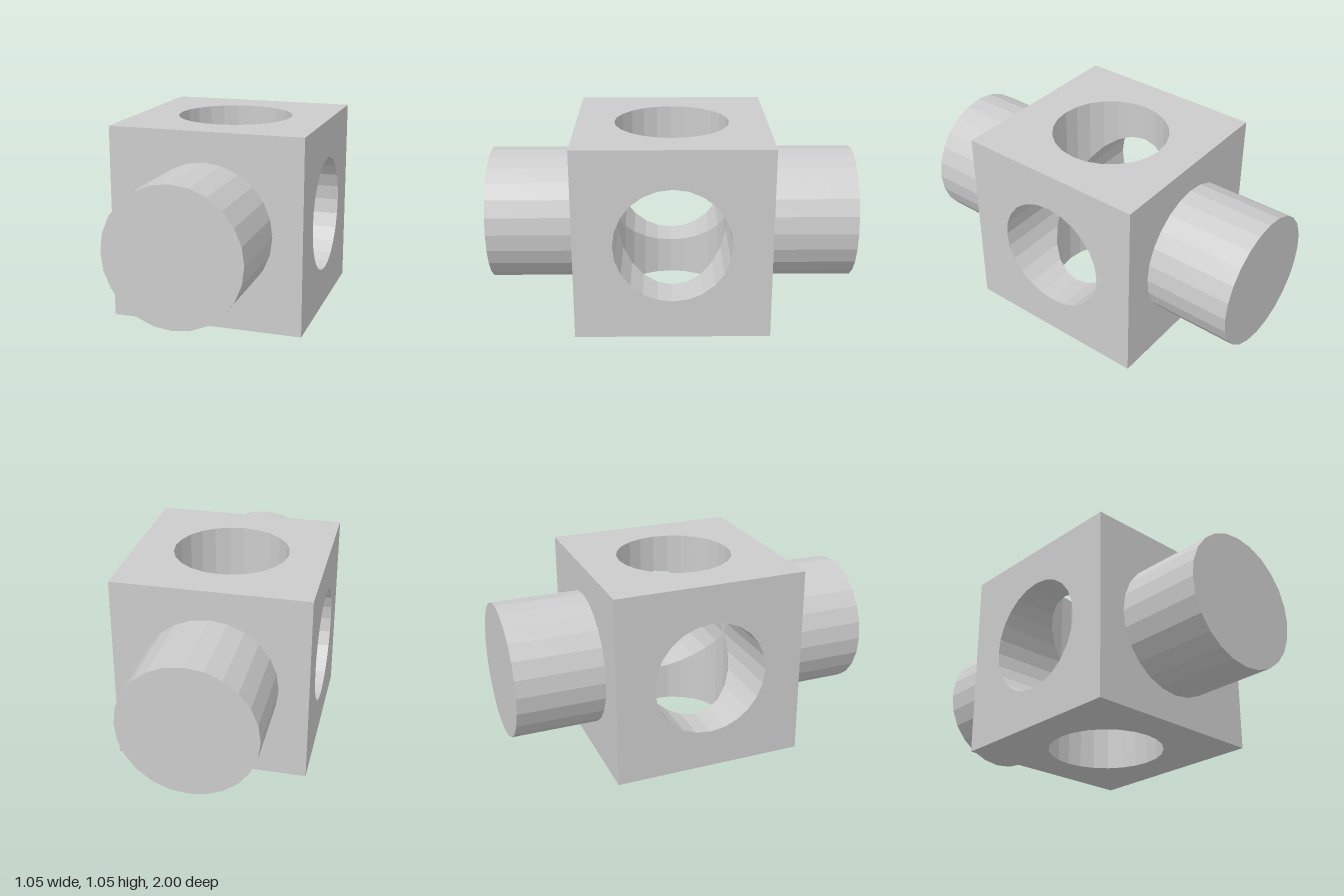
import * as THREE from 'three';

const HALF = 0.525;   // half the cube's side
const BORE = 0.315;   // radius of the two crossing bores
const PEG = 0.365;    // radius of the pegs
const REACH = 1;      // distance from centre to peg end
const SIDES = 24;

const material = new THREE.MeshStandardMaterial({ color: 0xcccccc, flatShading: true });

function add(parent, name, geometry) {
  const mesh = new THREE.Mesh(geometry, material);
  mesh.name = name;
  parent.add(mesh);
  return mesh;
}

// Square cube face, pointing +z, with a round opening
function faceGeometry(radius) {
  const shape = new THREE.Shape([
    new THREE.Vector2(-HALF, -HALF), new THREE.Vector2(HALF, -HALF),
    new THREE.Vector2(HALF, HALF), new THREE.Vector2(-HALF, HALF),
  ]);
  const ring = [];
  for (let i = 0; i < SIDES; i++) {
    const a = (-i / SIDES) * Math.PI * 2;
    ring.push(new THREE.Vector2(radius * Math.cos(a), radius * Math.sin(a)));
  }
  shape.holes.push(new THREE.Path(ring));
  return new THREE.ShapeGeometry(shape).translate(0, 0, HALF);
}

// Wall of one bore arm along +x, ending at the mitre where the bores cross
function boreGeometry() {
  const geometry = new THREE.PlaneGeometry(1, 1, SIDES, 3);
  const pos = geometry.attributes.position;
  for (let i = 0; i < pos.count; i++) {
    const a = -(pos.getX(i) + 0.5) * Math.PI * 2;
    const v = pos.getY(i) + 0.5;
    const y = BORE * Math.cos(a);
    pos.setXYZ(i, THREE.MathUtils.lerp(Math.abs(y), HALF, v), y, BORE * Math.sin(a));
  }
  geometry.computeVertexNormals();
  return geometry;
}

export function createModel() {
  const model = new THREE.Group();
  model.name = 'boredCubeWithPegs';
  const body = new THREE.Group();
  body.name = 'body';
  body.position.y = HALF;
  model.add(body);

  // Four bored faces and the bore arms behind them
  const boredFace = faceGeometry(BORE).rotateY(Math.PI / 2);
  const bore = boreGeometry();
  ['left', 'top', 'right', 'bottom'].forEach((side, i) => {
    const angle = (i * Math.PI) / 2;
    add(body, side + 'Face', boredFace).rotation.z = angle;
    add(body, side + 'BoreWall', bore).rotation.z = angle;
  });

  // Front and back faces with their pegs
  const pegFace = faceGeometry(PEG);
  const length = REACH - HALF;
  const pegWall = new THREE.CylinderGeometry(PEG, PEG, length, SIDES, 3, true)
    .rotateX(Math.PI / 2).translate(0, 0, HALF + length / 2);
  const pegEnd = new THREE.CircleGeometry(PEG, SIDES).translate(0, 0, REACH);
  ['front', 'back'].forEach((side, i) => {
    const end = new THREE.Group();
    end.name = side + 'Peg';
    end.rotation.y = i * Math.PI;
    body.add(end);
    add(end, side + 'Face', pegFace);
    add(end, side + 'PegWall', pegWall);
    add(end, side + 'PegEnd', pegEnd);
  });

  return model;
}
